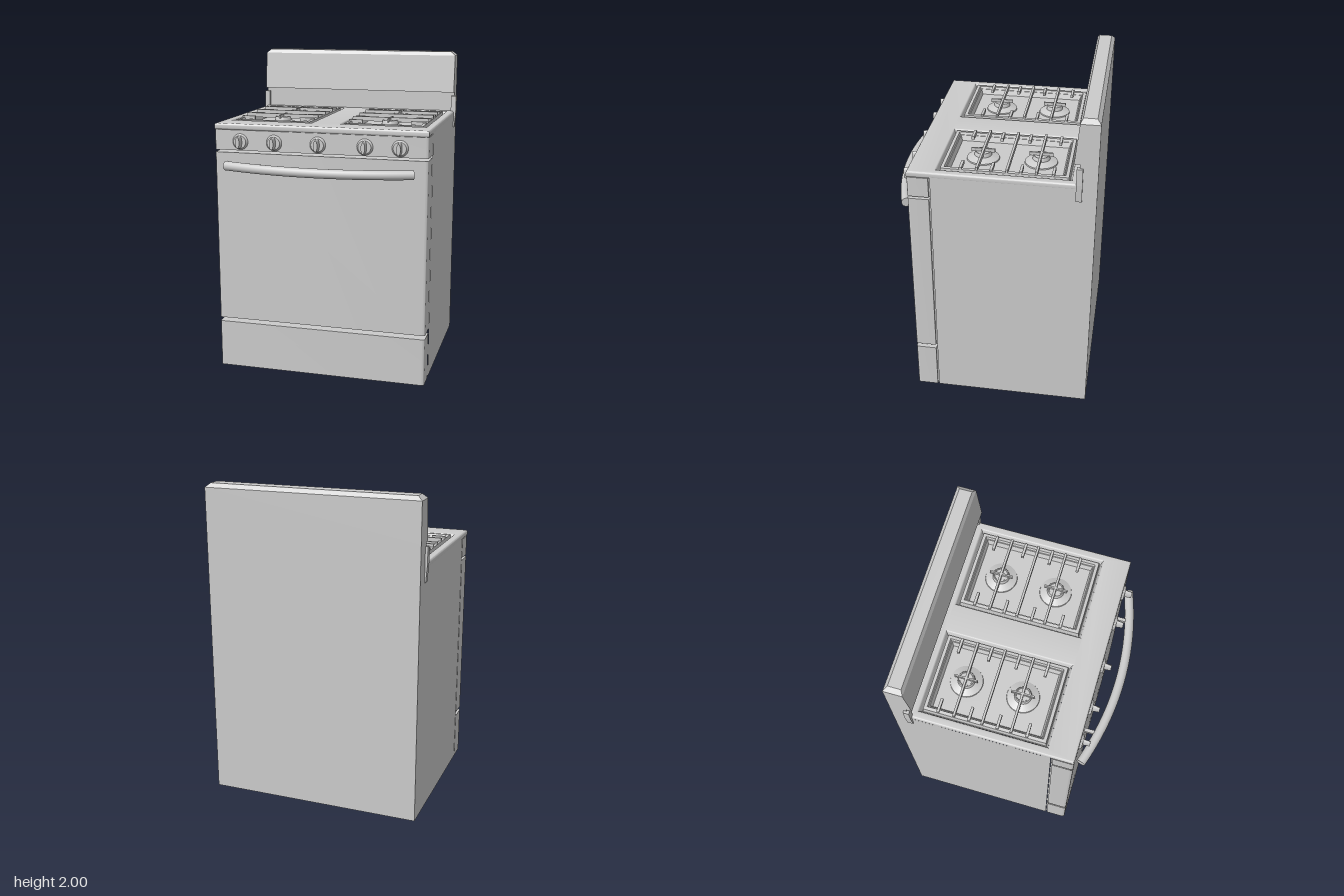
import * as THREE from 'three';
import { toCreasedNormals } from 'three/addons/utils/BufferGeometryUtils.js';
import { ConvexGeometry } from 'three/addons/geometries/ConvexGeometry.js';

const W = 0.675, BACK = -0.635, FRONT = 0.475;
const grey = new THREE.MeshStandardMaterial({ color: 0xcccccc });
const greyOpen = new THREE.MeshStandardMaterial({ color: 0xcccccc, side: THREE.DoubleSide });

function add(parent, name, geo, x = 0, y = 0, z = 0, material = grey) {
  const m = new THREE.Mesh(geo, material);
  m.name = name;
  m.position.set(x, y, z);
  parent.add(m);
  return m;
}

// box given by its limits
function box(parent, name, x0, x1, y0, y1, z0, z1) {
  return add(parent, name, new THREE.BoxGeometry(x1 - x0, y1 - y0, z1 - z0),
    (x0 + x1) / 2, (y0 + y1) / 2, (z0 + z1) / 2);
}

// plan shape (shape y = -z) raised from y0 to y1, with an optional rounded edge
function slab(shape, y0, y1, bevel = 0) {
  const geo = new THREE.ExtrudeGeometry(shape, {
    depth: y1 - y0 - 2 * bevel, curveSegments: 6, bevelEnabled: bevel > 0,
    bevelThickness: bevel, bevelSize: bevel, bevelOffset: -bevel, bevelSegments: 4,
  });
  geo.rotateX(-Math.PI / 2).translate(0, y0 + bevel, 0);
  return toCreasedNormals(geo, 0.6);
}

function rect(target, x0, x1, z0, z1) {
  target.moveTo(x0, -z1);
  target.lineTo(x1, -z1);
  target.lineTo(x1, -z0);
  target.lineTo(x0, -z0);
  target.closePath();
  return target;
}

// plan of a front panel: rounded front corners, notched rear edge
function panelShape(hollow) {
  const s = new THREE.Shape(), r = 0.018;
  s.moveTo(-0.663, -0.335);
  s.lineTo(-0.663, -0.345);
  s.lineTo(-W, -0.345);
  s.lineTo(-W, -FRONT + r);
  s.quadraticCurveTo(-W, -FRONT, -W + r, -FRONT);
  s.lineTo(W - r, -FRONT);
  s.quadraticCurveTo(W, -FRONT, W, -FRONT + r);
  s.lineTo(W, -0.345);
  s.lineTo(0.663, -0.345);
  s.lineTo(0.663, -0.335);
  if (hollow) {
    s.lineTo(0.659, -0.335);
    s.lineTo(0.659, -FRONT + 0.005);
    s.lineTo(-0.659, -FRONT + 0.005);
    s.lineTo(-0.659, -0.335);
  }
  s.closePath();
  return s;
}

// rectangular loops of [inset, y], stepping inwards and facing up
function steppedTray(x0, x1, z0, z1, profile) {
  const loops = profile.map(([d, y]) => [[x0 + d, y, z1 - d], [x1 - d, y, z1 - d],
    [x1 - d, y, z0 + d], [x0 + d, y, z0 + d]]);
  const pos = [];
  for (let i = 0; i + 1 < loops.length; i++) {
    for (let k = 0; k < 4; k++) {
      const n = (k + 1) % 4, a = loops[i][k], b = loops[i][n], c = loops[i + 1][n], d = loops[i + 1][k];
      pos.push(...a, ...b, ...c, ...a, ...c, ...d);
    }
  }
  const geo = new THREE.BufferGeometry();
  geo.setAttribute('position', new THREE.Float32BufferAttribute(pos, 3));
  geo.computeVertexNormals();
  return geo;
}

// burner: sloping dish, ring and cap
function burner(parent, x, z) {
  const profile = [[0.1, 1.554], [0.098, 1.562], [0.053, 1.58], [0.05, 1.6],
    [0.048, 1.604], [0.042, 1.604], [0.04, 1.6], [0, 1.602]];
  const geo = new THREE.LatheGeometry(profile.map(p => new THREE.Vector2(...p)), 40);
  add(parent, 'burner', toCreasedNormals(geo, 0.6), x, 0, z);
}

// one well with its rim, bars and two burners, between x0 and x1
function grate(x0, x1) {
  const g = new THREE.Group();
  g.name = 'grate';
  // sloping well wall, raised frame, inner slope and floor
  add(g, 'wellAndFrame', steppedTray(x0, x1, -0.49, 0.31, [[0.006, 1.59], [0.018, 1.56],
    [0.02, 1.56], [0.024, 1.6], [0.044, 1.602], [0.05, 1.587], [0.055, 1.587],
    [0.067, 1.555], [(x1 - x0) / 2, 1.555]]));
  const a = x0 + 0.026, b = x1 - 0.026;
  for (const z of [-0.277, -0.105, 0.072])
    box(g, 'crossBar', a, b, 1.592, 1.62, z - 0.007, z + 0.007);
  for (const z of [-0.375, -0.186, -0.013, 0.168]) {
    box(g, 'finger', a, a + 0.088, 1.59, 1.612, z - 0.008, z + 0.008);
    box(g, 'finger', b - 0.094, b, 1.59, 1.612, z - 0.008, z + 0.008);
  }
  const x = Math.sign(x0) * 0.357;
  for (const z of [-0.277, 0.075]) {
    burner(g, x, z);
    box(g, 'burnerBar', x - 0.005, x + 0.005, 1.598, 1.62, z - 0.072, z + 0.072);
  }
  return g;
}

function knob(x) {
  const g = new THREE.Group();
  g.name = 'knob';
  g.position.set(x, 1.49, FRONT);
  const disc = (name, r0, r1, z0, z1) => add(g, name,
    new THREE.CylinderGeometry(r1, r0, z1 - z0, 48).rotateX(Math.PI / 2), 0, 0, (z0 + z1) / 2);
  disc('knobFlange', 0.05, 0.04, 0, 0.014);
  disc('knobGrip', 0.042, 0.035, 0.01, 0.057).scale.x = 0.36;
  return g;
}

export function createModel() {
  const model = new THREE.Group();
  model.name = 'range';

  // cabinet shell: only the two sides and the back
  const shell = new THREE.BoxGeometry(2 * W, 1.57, 0.335 - BACK);
  shell.setIndex([...shell.index.array].filter((_, i) => i < 12 || i >= 30));
  shell.clearGroups();
  add(model, 'cabinet', shell, 0, 0.785, (0.335 + BACK) / 2, greyOpen);

  // drawer front, door and control panel
  add(model, 'drawerFront', slab(panelShape(true), 0, 0.297));
  add(model, 'drawerTop', slab(panelShape(false), 0.297, 0.303));
  add(model, 'ovenDoor', slab(panelShape(false), 0.329, 1.42));
  add(model, 'controlPanel', slab(panelShape(false), 1.435, 1.562));

  // cooktop with two wells
  const top = rect(new THREE.Shape(), -W, W, -0.545, FRONT);
  const wells = [[-0.63, -0.093], [0.086, 0.63]];
  for (const [a, b] of wells)
    top.holes.push(rect(new THREE.Path(), a + 0.006, b - 0.006, -0.484, 0.304));
  add(model, 'cooktop', slab(top, 1.56, 1.6, 0.012));
  for (const [a, b] of wells) model.add(grate(a, b));

  // backguard on its riser
  box(model, 'riser', -W, W, 1.57, 1.73, BACK, -0.53);
  const corners = [];
  for (const s of [-1, 1]) {
    for (const [x, y, z] of [[W, 1.728, BACK], [W, 1.728, -0.495], [W, 1.975, BACK],
      [W, 1.975, -0.519], [0.645, 2, -0.612], [0.645, 2, -0.533]])
      corners.push(new THREE.Vector3(s * x, y, z));
  }
  add(model, 'backguard', new ConvexGeometry(corners));

  // side brackets
  for (const s of [-1, 1]) {
    const b = new THREE.Shape([[0.655, 1.57], [0.67, 1.49], [0.682, 1.49], [0.69, 1.6],
      [0.69, 1.703], [0.655, 1.703]].map(([x, y]) => new THREE.Vector2(s * x, y)));
    const geo = new THREE.ExtrudeGeometry(b, { depth: 0.036, bevelEnabled: false });
    add(model, 'sideBracket', geo, 0, 0, -0.549);
  }

  // knobs
  for (const x of [-0.505, -0.285, -0.006, 0.288, 0.503]) model.add(knob(x));

  // bowed handle with end caps and standoffs
  const bow = x => 0.604 - 0.1 * (x / 0.595) ** 2;
  const pts = [];
  for (let i = 0; i <= 16; i++) {
    const x = -0.593 + 1.186 * i / 16;
    pts.push(new THREE.Vector3(x, 1.34, bow(x)));
  }
  const path = new THREE.CatmullRomCurve3(pts);
  add(model, 'handle', new THREE.TubeGeometry(path, 48, 0.029, 20));
  for (const t of [0, 1]) {
    const p = path.getPoint(t), out = path.getTangent(t).multiplyScalar(t ? 1 : -1);
    const cap = add(model, 'handleCap', new THREE.CircleGeometry(0.029, 20), p.x, p.y, p.z);
    cap.quaternion.setFromUnitVectors(new THREE.Vector3(0, 0, 1), out);
  }
  for (const x of [-0.387, 0.387])
    box(model, 'handleStandoff', x - 0.011, x + 0.011, 1.328, 1.352, FRONT - 0.005, bow(x));

  return model;
}
